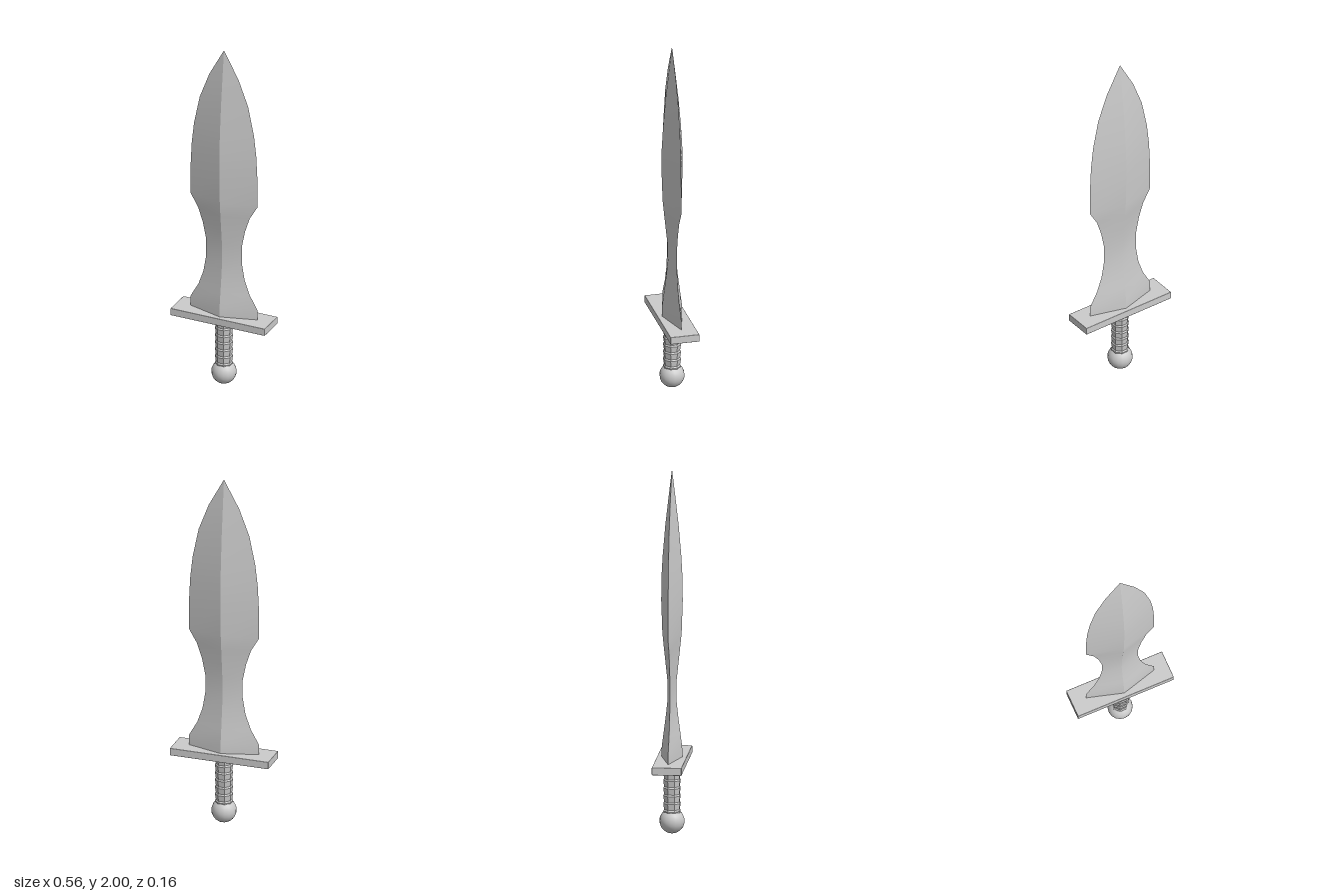
import * as THREE from 'three';
import { RoundedBoxGeometry } from 'three/addons/geometries/RoundedBoxGeometry.js';

const smooth = new THREE.MeshStandardMaterial({ color: 0xcccccc });
const flat = new THREE.MeshStandardMaterial({ color: 0xcccccc, flatShading: true });

// Blade sections: [height, half width, half thickness]
const SECTIONS = [
  [0.40, 0.2, 0.057], [0.475, 0.2, 0.055], [0.56, 0.152, 0.044], [0.645, 0.122, 0.033],
  [0.74, 0.106, 0.023], [0.84, 0.106, 0.025], [0.935, 0.125, 0.035], [1.02, 0.153, 0.044],
  [1.1, 0.2, 0.052], [1.275, 0.198, 0.058], [1.4, 0.192, 0.057], [1.525, 0.178, 0.05],
  [1.69, 0.144, 0.036], [1.84, 0.087, 0.019], [2.0, 0, 0],
];

// Diamond loft: four strips, smooth along the length and sharp at edges and ridges
function bladeGeometry() {
  const pos = [], index = [];
  const corners = [[1, 0], [0, 1], [-1, 0], [0, -1]];
  for (let q = 0; q < 4; q++) {
    const a = corners[q], b = corners[(q + 1) % 4];
    const start = pos.length / 3;
    SECTIONS.forEach(([y, w, t], i) => {
      pos.push(a[0] * w, y, a[1] * t, b[0] * w, y, b[1] * t);
      if (i === 0) return;
      const a1 = start + 2 * i, b1 = a1 + 1, a0 = a1 - 2, b0 = a1 - 1;
      index.push(b0, a0, a1);
      if (w > 0) index.push(b0, a1, b1);
    });
  }
  const geo = new THREE.BufferGeometry();
  geo.setAttribute('position', new THREE.Float32BufferAttribute(pos, 3));
  geo.setIndex(index);
  geo.computeVertexNormals();
  return geo;
}

// Octagonal grip with a stack of slightly flared bands
function gripGeometry() {
  const bands = 7, y0 = 0.09, y1 = 0.385, step = (y1 - y0) / bands;
  const profile = [];
  for (let i = 0; i < bands; i++) {
    const y = y0 + i * step;
    profile.push(new THREE.Vector2(0.044, y), new THREE.Vector2(0.049, y + step * 0.8));
  }
  profile.push(new THREE.Vector2(0.044, y1));
  return new THREE.LatheGeometry(profile, 8, Math.PI / 8);
}

export function createModel() {
  const group = new THREE.Group();
  const add = (name, geo, mat, y = 0) => {
    const mesh = new THREE.Mesh(geo, mat);
    mesh.name = name;
    mesh.position.y = y;
    group.add(mesh);
  };
  add('blade', bladeGeometry(), smooth);
  add('guard', new RoundedBoxGeometry(0.56, 0.042, 0.16, 1, 0.003), smooth, 0.399);
  add('grip', gripGeometry(), flat);
  add('pommel', new THREE.SphereGeometry(0.068, 16, 12), smooth, 0.068);
  return group;
}
